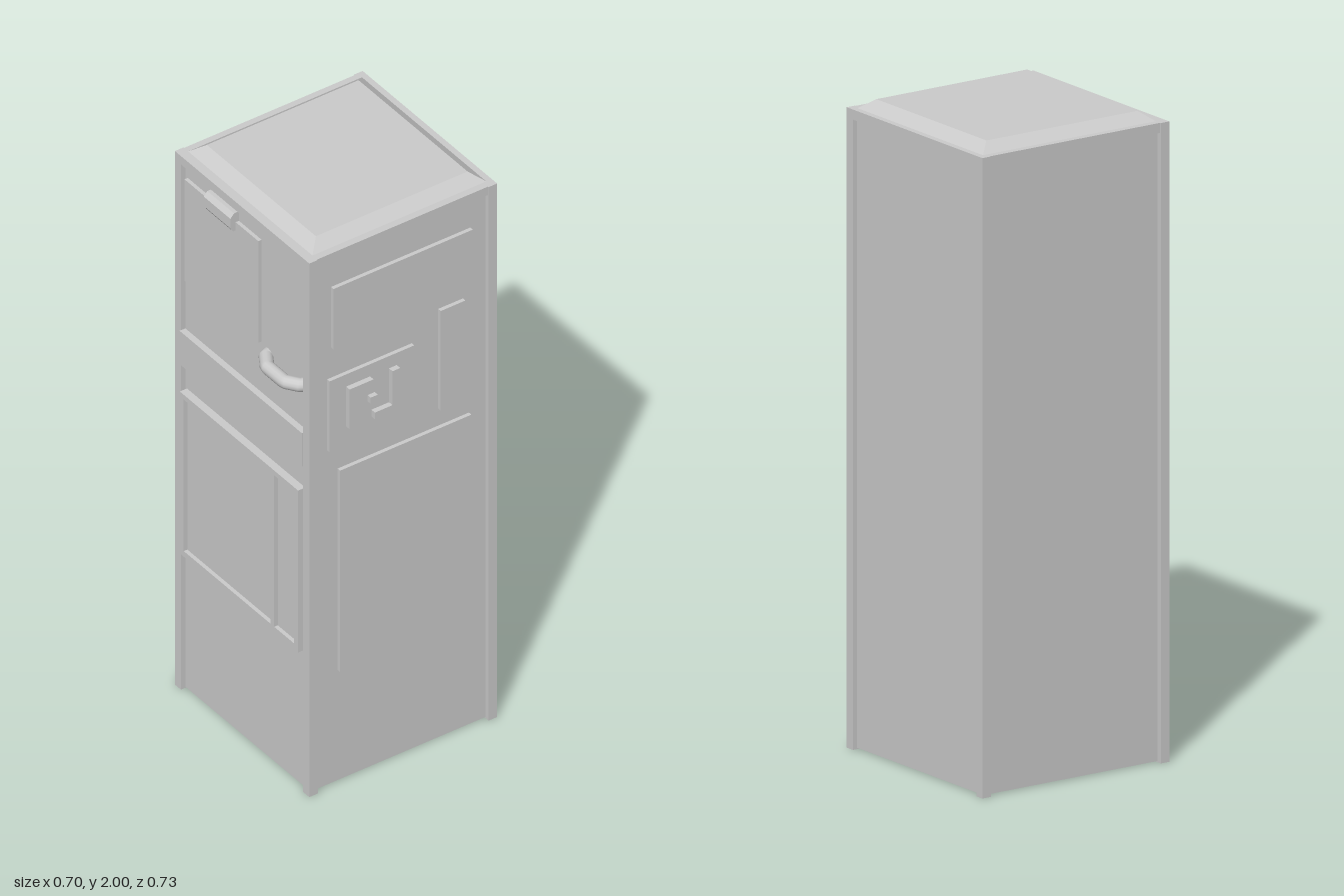
import * as THREE from 'three';

export function createModel() {
  const root = new THREE.Group();
  const mat = new THREE.MeshStandardMaterial({ color: 0xcccccc, flatShading: true });
  const smooth = new THREE.MeshStandardMaterial({ color: 0xcccccc });

  const add = (name, geo, material = mat) => {
    const mesh = new THREE.Mesh(geo, material);
    mesh.name = name;
    root.add(mesh);
    return mesh;
  };
  // box given by its limits on each axis
  const box = (name, x0, x1, y0, y1, z0, z1) =>
    add(name, new THREE.BoxGeometry(x1 - x0, y1 - y0, z1 - z0)
      .translate((x0 + x1) / 2, (y0 + y1) / 2, (z0 + z1) / 2));

  const X0 = -0.35, X1 = 0.335, Z0 = -0.363, Z1 = 0.32, H = 1.97;
  const W = 0.031, IN = 0.016;

  // recessed cabinet walls
  box('cabinetBody', X0 + IN, X1 - IN, 0.004, H - 0.005, Z0 + IN, Z1 - IN);

  // corner posts
  for (const x of [X0, X1 - W])
    for (const z of [Z0, Z1 - W]) box('cornerPost', x, x + W, 0, H, z, z + W);

  // top rails between the posts
  for (const z of [Z0, Z1 - W]) box('topRail', X0 + W, X1 - W, H - W, H, z, z + W);
  for (const x of [X0 + 0.003, X1 - W]) box('topRail', x, x + W - 0.003, H - W, H, Z0 + W, Z1 - W);

  // bevelled roof: a box whose upper corners are pulled inwards
  const roof = new THREE.BoxGeometry(0.646, 0.035, 0.645);
  const p = roof.attributes.position;
  for (let i = 0; i < p.count; i++)
    if (p.getY(i) > 0) p.setXYZ(i, Math.sign(p.getX(i)) * 0.278, p.getY(i), Math.sign(p.getZ(i)) * 0.276);
  roof.computeVertexNormals();
  add('roof', roof).position.set(-0.009, 1.9825, -0.027);

  // front: door plate, hood and middle band
  const face = Z1 - IN - 0.005;
  box('doorPlate', -0.307, 0.07, 1.515, 1.89, face, Z1 - 0.004);
  box('middleBand', -0.32, 0.304, 1.204, 1.327, face, 0.325);
  const hood = new THREE.Shape([[0.3, 1.86], [0.325, 1.86], [0.335, 1.875], [0.335, 1.91], [0.322, 1.925], [0.3, 1.925]]
    .map(([z, y]) => new THREE.Vector2(-z, y)));
  const hoodGeo = new THREE.ExtrudeGeometry(hood, { depth: 0.136, bevelEnabled: false });
  add('hood', hoodGeo.rotateY(Math.PI / 2).translate(-0.182, 0, 0));

  // bent door handle
  const path = new THREE.CurvePath();
  const pts = [[0.102, 0.3], [0.107, 0.315], [0.152, 0.343], [0.243, 0.343], [0.283, 0.315], [0.288, 0.3]]
    .map(([x, z]) => new THREE.Vector3(x, 1.488, z));
  for (let i = 1; i < pts.length; i++) path.add(new THREE.LineCurve3(pts[i - 1], pts[i]));
  add('doorHandle', new THREE.TubeGeometry(path, 40, 0.022, 14), smooth);

  // lower frame with two recessed fields
  const rect = (C, x0, x1, y0, y1) => new C([[x0, y0], [x1, y0], [x1, y1], [x0, y1]]
    .map(([x, y]) => new THREE.Vector2(x, y)));
  const frame = rect(THREE.Shape, -0.311, 0.292, 0.512, 1.11);
  frame.holes.push(rect(THREE.Path, -0.291, 0.15, 0.533, 1.092), rect(THREE.Path, 0.17, 0.272, 0.533, 1.092));
  add('lowerFrame', new THREE.ExtrudeGeometry(frame, { depth: 0.031, bevelEnabled: false })).position.z = 0.299;
  box('lowerFrameBack', -0.3, 0.28, 0.52, 1.1, 0.295, 0.317);

  // right side: raised plates [z0, z1, y0, y1]
  const side = X1 - IN - 0.005;
  for (const [z0, z1, y0, y1] of [
    [-0.277, 0.23, 1.612, 1.835],
    [-0.25, -0.16, 1.217, 1.585],
    [-0.064, 0.244, 1.238, 1.5],
    [-0.272, 0.206, 0.41, 1.154],
  ]) box('sidePlate', side, X1 - 0.003, y0, y1, z0, z1);

  // raised angle ribs around a small stud on the square plate
  for (const [z0, z1, y0, y1] of [
    [0.157, 0.184, 1.308, 1.455], [0.097, 0.157, 1.43, 1.455],
    [0, 0.028, 1.305, 1.455], [0.028, 0.092, 1.305, 1.33],
  ]) box('angleRib', side, 0.35, y0, y1, z0, z1);
  box('stud', side, 0.348, 1.367, 1.39, 0.08, 0.106);

  return root;
}
